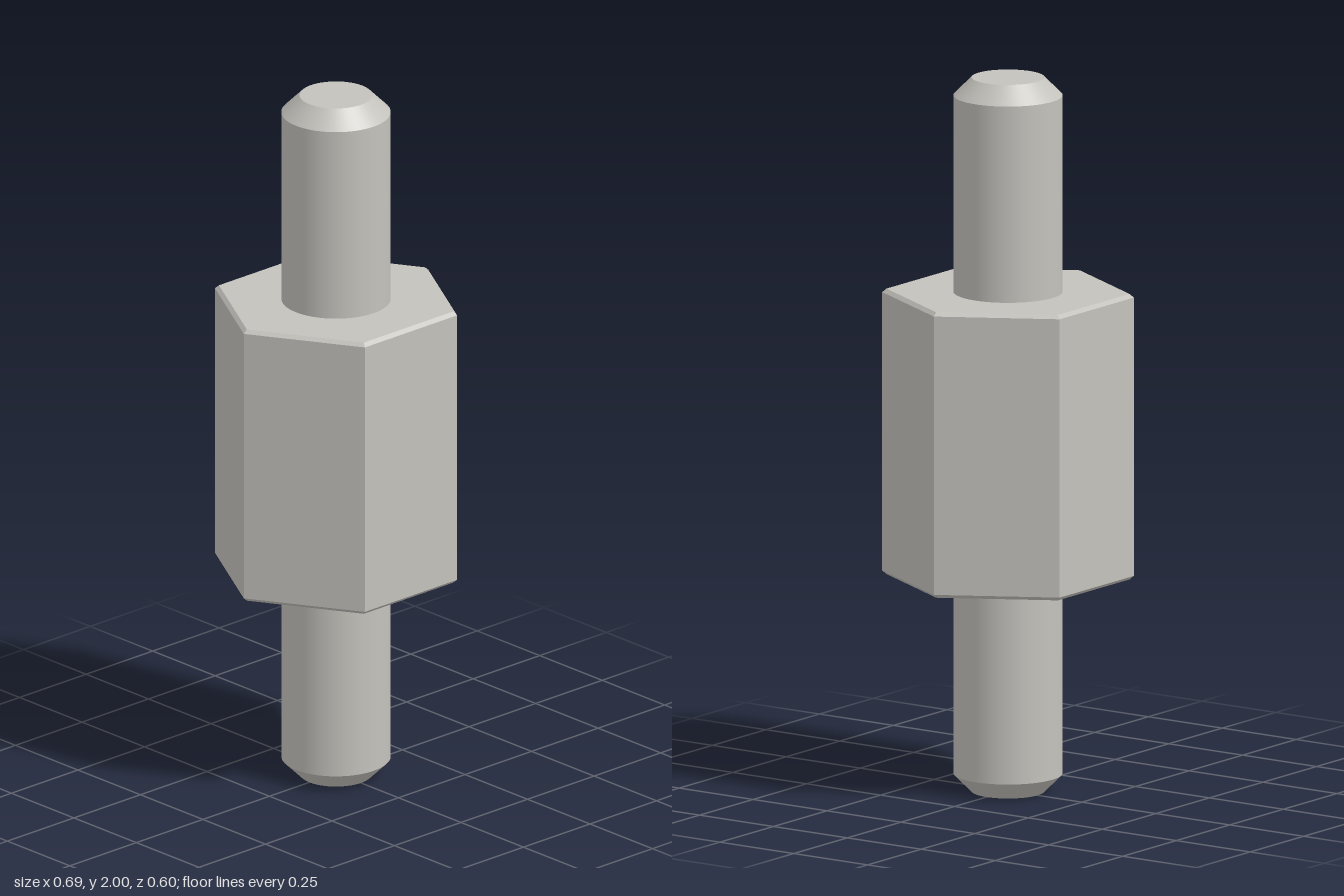
import * as THREE from 'three';

export function createModel() {
  const model = new THREE.Group();
  const steel = new THREE.MeshStandardMaterial({ name: 'steel', color: 0xc4c2bc });

  // Upright prism or cone section between two heights
  function section(name, parent, rBottom, rTop, y0, y1, sides, open) {
    const geo = new THREE.CylinderGeometry(rTop, rBottom, y1 - y0, sides, 1, open, Math.PI / 2);
    geo.translate(0, (y0 + y1) / 2, 0);
    // Few-sided sections get flat faces
    const flat = sides === 6 ? geo.toNonIndexed() : geo;
    if (sides === 6) flat.computeVertexNormals();
    const mesh = new THREE.Mesh(flat, steel);
    mesh.name = name;
    parent.add(mesh);
  }

  // Hexagonal body, corners on the x axis, with a thin chamfer at each end
  const body = new THREE.Group();
  body.name = 'hexBody';
  const R = 0.3 / Math.cos(Math.PI / 6), r = R - 0.0115;
  section('bodyBottomChamfer', body, r, R, 0.6, 0.61, 6, false);
  section('bodySides', body, R, R, 0.61, 1.39, 6, true);
  section('bodyTopChamfer', body, R, r, 1.39, 1.4, 6, false);
  model.add(body);

  // Round studs with chamfered tips
  const lower = new THREE.Group();
  lower.name = 'lowerStud';
  section('lowerTip', lower, 0.1, 0.15, 0, 0.05, 64, false);
  section('lowerShaft', lower, 0.15, 0.15, 0.05, 0.6, 64, true);
  model.add(lower);

  const upper = new THREE.Group();
  upper.name = 'upperStud';
  section('upperShaft', upper, 0.15, 0.15, 1.4, 1.95, 64, true);
  section('upperTip', upper, 0.15, 0.1, 1.95, 2, 64, false);
  model.add(upper);

  return model;
}
